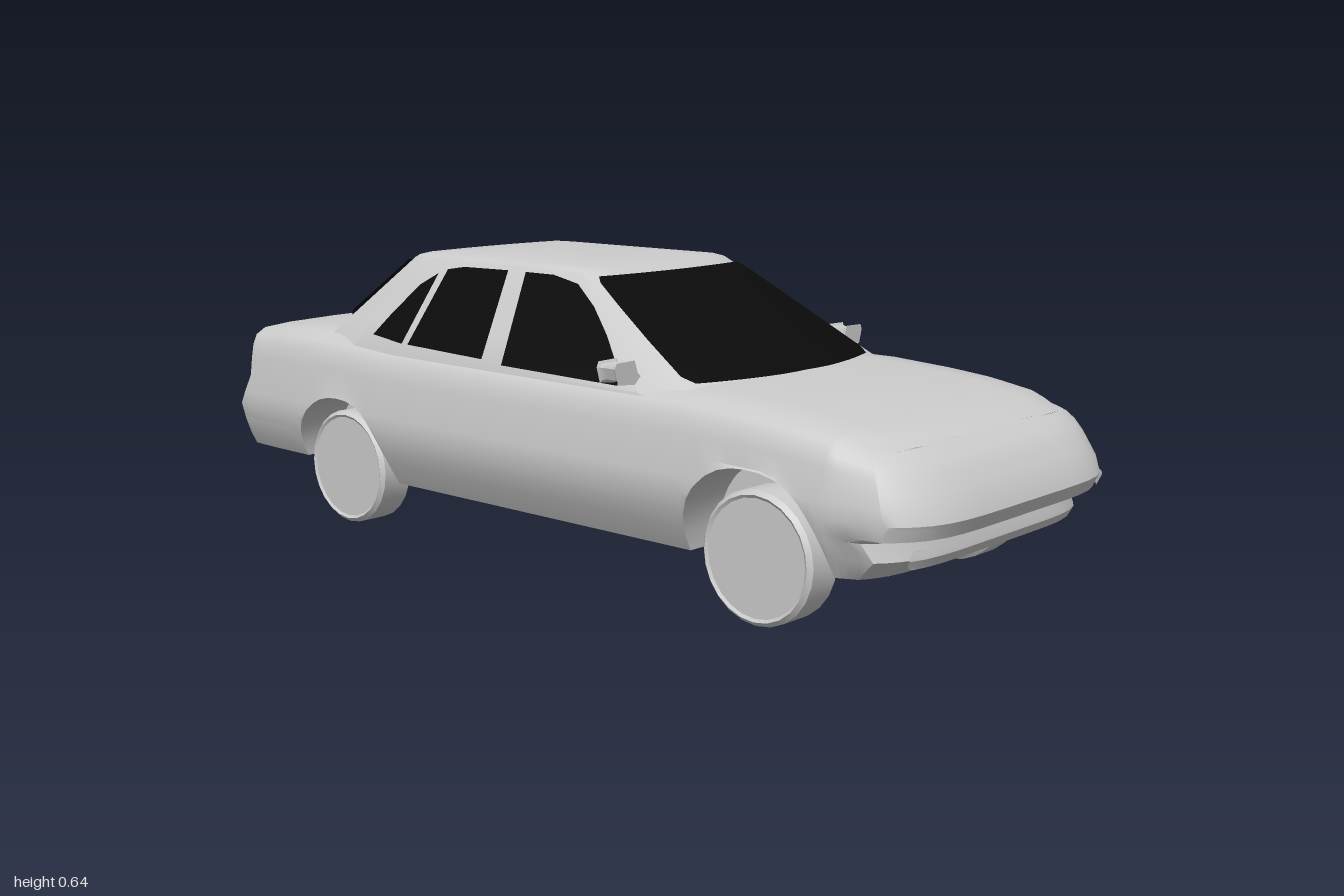
import * as THREE from 'three';
import { toCreasedNormals } from 'three/addons/utils/BufferGeometryUtils.js';

const paint = new THREE.MeshStandardMaterial({ color: 0xcccccc, side: THREE.DoubleSide });
const glass = new THREE.MeshStandardMaterial({ color: 0x0a0a0a, side: THREE.DoubleSide });
const lerp = THREE.MathUtils.lerp;

// Piecewise linear lookup in [[key, value], ...] with ascending keys
function look(table, k) {
  if (k <= table[0][0]) return table[0][1];
  for (let i = 1; i < table.length; i++) {
    const [a, va] = table[i - 1], [b, vb] = table[i];
    if (k <= b) return lerp(va, vb, (k - a) / (b - a));
  }
  return table[table.length - 1][1];
}

// Surface from rows of [x, y, z] points
function skin(rows) {
  const n = rows[0].length, index = [];
  for (let i = 0; i < rows.length - 1; i++) for (let j = 0; j < n - 1; j++) {
    const a = i * n + j, b = a + n;
    index.push(a, b, a + 1, b, b + 1, a + 1);
  }
  const g = new THREE.BufferGeometry();
  g.setAttribute('position', new THREE.Float32BufferAttribute(rows.flat(2), 3));
  g.setIndex(index);
  return toCreasedNormals(g, 0.55);
}

function add(parent, name, geometry, material = paint) {
  const m = new THREE.Mesh(geometry, material);
  m.name = name;
  parent.add(m);
  return m;
}

// Body rules: deck height, side width, nose and tail profiles
const deck = [[-1, 0.435], [-0.85, 0.446], [-0.71, 0.45], [-0.4, 0.435], [0.3, 0.43], [0.45, 0.43], [0.6, 0.42], [0.7, 0.41], [0.8, 0.393], [0.9, 0.382], [1, 0.365]];
const lower = [[0.11, 0.345], [0.165, 0.375], [0.2, 0.388], [0.24, 0.398], [0.27, 0.396]];
const upper = [[0, 0.396], [0.25, 0.39], [0.5, 0.384], [0.7, 0.376], [0.83, 0.362], [0.92, 0.335], [0.96, 0.26], [0.99, 0.13], [1, 0]];
const nose = [[0.12, 0.87], [0.135, 0.925], [0.165, 0.942], [0.2, 0.935], [0.21, 0.985], [0.24, 1], [0.27, 0.99], [0.33, 0.95], [0.365, 0.9]];
const tail = [[0.135, -0.975], [0.24, -1], [0.265, -0.992], [0.285, -0.965], [0.41, -0.957], [0.425, -0.948], [0.435, -0.925]];
const noseZ = (x, y) => look(nose, y) - 0.08 * Math.abs(x / 0.37) ** 6;
const tailZ = (x, y) => look(tail, y) + 0.04 * Math.abs(x / 0.39) ** 8;
const floorY = z => look([[-0.74, 0.135], [-0.6, 0.112], [0.6, 0.112], [0.8, 0.122]], z);
const arches = [{ z: 0.628, r: 0.172, top: 0.305 }, { z: -0.58, r: 0.16, top: 0.295 }];

function archY(z) {
  let y = floorY(z);
  for (const a of arches) {
    const d = Math.abs(z - a.z) / a.r;
    if (d < 1) y = lerp(y, a.top, Math.sqrt(1 - d ** 2.4));
  }
  return y;
}

// Half section, from floor centre past the wheel well to deck centre
function halfSection(s) {
  const H = look(deck, s), yb = floorY(s), ya = archY(s);
  const taper = s > 0.6 ? 1 - 0.07 * ((s - 0.6) / 0.4) ** 2 : s < -0.7 ? 1 - 0.02 * ((-s - 0.7) / 0.3) ** 2 : 1;
  const pts = [[0, yb], [0.27, yb], [0.27, ya]];
  for (const y0 of [yb, 0.165, 0.2, 0.21, 0.24, 0.27]) {
    const y = Math.max(y0, ya);
    pts.push([look(lower, y) * taper, y]);
  }
  for (const [f, x] of upper.slice(1)) pts.push([x * taper, Math.max(lerp(0.27, H, f), ya)]);
  return pts.map(([x, y]) => {
    let z = s;
    if (s > 0.8) z = lerp(0.8, noseZ(x, y), (s - 0.8) / 0.2);
    if (s < -0.8) z = lerp(-0.8, tailZ(x, y), (-s - 0.8) / 0.2);
    return [x, y, z];
  });
}
const flip = ([x, y, z]) => [-x, y, z];
const whole = half => [...half, ...half.slice(0, -1).reverse().map(flip)];

function endCap(s, endZ) {
  const rim = halfSection(s).slice(3), rows = [];
  for (let i = -10; i <= 10; i++) {
    const f = Math.sin(i / 10 * Math.PI / 2) * Math.sign(s);
    rows.push(rim.map(([x, y]) => [x * f, y, endZ(x * f, y)]));
  }
  return skin(rows);
}

// Cabin rules: t runs from the belt line (0) to the roof edge (1)
const beltY = 0.41, cabinH = 0.205;
const sideX = y => 0.36 - 0.61 * Math.max(0, y - beltY);
const screenZ = (x, y) => {
  const t = (y - beltY) / cabinH;
  return lerp(0.5, 0.1, t) - lerp(0.07, 0.015, t) * (x / lerp(0.32, 0.215, t)) ** 2;
};
const backZ = (x, y) => {
  const t = (y - beltY) / cabinH;
  return lerp(-0.755, -0.505, t) + lerp(0.06, 0.015, t) * (x / lerp(0.34, 0.225, t)) ** 2;
};

function cabinRing(y) {
  const t = (y - beltY) / cabinH, fr = [0, 0.25, 0.5, 0.75, 1], half = [];
  for (const f of fr) { const x = f * lerp(0.32, 0.215, t); half.push([x, y, screenZ(x, y)]); }
  for (const f of [0, 0.35, 0.7, 1]) half.push([sideX(y), y, lerp(lerp(0.33, 0.06, t), lerp(-0.56, -0.44, t), f)]);
  for (const f of [...fr].reverse()) { const x = f * lerp(0.34, 0.225, t); half.push([x, y, backZ(x, y)]); }
  return whole(half);
}

function cabin() {
  const levels = [0.385, 0.41, 0.48, 0.55, 0.615].map(cabinRing);
  const edge = levels[4];
  for (const [k, y] of [[0.97, 0.622], [0.9, 0.628], [0.6, 0.635], [0.3, 0.639], [0, 0.64]])
    levels.push(edge.map(([x, , z]) => [x * k, y, lerp(-0.2, z, k)]));
  return skin(edge.map((_, i) => levels.map(l => l[i])));
}

// Patch lying just off a surface; outline is [y, halfWidth] pairs
function patch(outline, surfaceZ, lift, x0 = 0) {
  const rows = [];
  for (let i = -8; i <= 8; i++)
    rows.push(outline.map(([y, w]) => {
      const x = x0 + w * i / 8 * Math.sign(lift);
      return [x, y, surfaceZ(x, y) + lift];
    }));
  return skin(rows);
}

// Side glass from an outline in (z, y)
function sideGlass(points) {
  const g = new THREE.ShapeGeometry(new THREE.Shape(points.map(p => new THREE.Vector2(...p))));
  const p = g.attributes.position;
  for (let i = 0; i < p.count; i++) {
    const z = p.getX(i), y = p.getY(i);
    p.setXYZ(i, sideX(y) + 0.004, y, z);
  }
  g.computeVertexNormals();
  return g;
}

export function createModel() {
  const car = new THREE.Group();
  car.name = 'car';

  // Lower body, with dense stations around the wheel arches
  const stations = [1, 0.95, 0.9, 0.85, 0.5, 0.3, 0.1, -0.1, -0.3, -0.78, -0.85, -0.9, -0.95, -1];
  for (const a of arches) for (let i = 0; i <= 16; i++) stations.push(a.z + a.r * Math.cos(i / 16 * Math.PI));
  stations.sort((a, b) => b - a);
  add(car, 'body', skin(stations.map(s => whole(halfSection(s)))));
  add(car, 'noseFace', endCap(1, noseZ));
  add(car, 'tailFace', endCap(-1, tailZ));

  // Cabin and its front and rear glass
  add(car, 'cabin', cabin());
  add(car, 'windshield', patch([[0.428, 0.285], [0.44, 0.298], [0.5, 0.278], [0.56, 0.255], [0.6, 0.238], [0.611, 0.225]], screenZ, 0.005), glass);
  add(car, 'rearWindow', patch([[0.455, 0.275], [0.49, 0.312], [0.55, 0.275], [0.61, 0.238]], backZ, -0.005), glass);

  // Front intake and rear plate
  const slot = [];
  for (let i = 0; i <= 8; i++) {
    const a = (i / 8 - 0.5) * Math.PI;
    slot.push([0.164 + 0.019 * Math.sin(a), 0.275 + 0.019 * Math.cos(a)]);
  }
  add(car, 'intake', patch(slot, noseZ, 0.004));
  add(car, 'plate', patch([[0.15, 0.08], [0.225, 0.085]], () => -0.996, -0.004));

  // Parts repeated on both sides
  const left = new THREE.Group();
  left.name = 'leftSide';
  add(left, 'frontSideWindow', sideGlass([[0.275, 0.417], [-0.065, 0.422], [-0.105, 0.608], [-0.02, 0.608], [0.06, 0.595], [0.13, 0.555], [0.195, 0.505], [0.255, 0.45]]), glass);
  add(left, 'rearSideWindow', sideGlass([[-0.13, 0.428], [-0.16, 0.608], [-0.3, 0.606], [-0.35, 0.598], [-0.378, 0.435]]), glass);
  add(left, 'quarterWindow', sideGlass([[-0.398, 0.435], [-0.375, 0.588], [-0.42, 0.56], [-0.475, 0.49], [-0.505, 0.446]]), glass);
  add(left, 'headlight', patch([[0.212, 0.03], [0.222, 0.036], [0.237, 0.036]], noseZ, 0.006, 0.332));

  // Door mirror
  const outline = [[0.325, 0.415], [0.348, 0.422], [0.4, 0.427], [0.409, 0.458], [0.404, 0.47], [0.352, 0.471], [0.343, 0.445], [0.325, 0.43]];
  const mirror = new THREE.ExtrudeGeometry(new THREE.Shape(outline.map(p => new THREE.Vector2(...p))),
    { depth: 0.025, bevelEnabled: true, bevelSize: -0.008, bevelThickness: 0.012, bevelOffset: 0, bevelSegments: 2 });
  add(left, 'mirror', mirror).position.z = 0.277;

  // Wheels
  const profile = [[0, -0.045], [0.118, -0.045], [0.131, -0.036], [0.131, 0.036], [0.122, 0.045], [0.116, 0.041], [0, 0.041]];
  const wheel = toCreasedNormals(new THREE.LatheGeometry(profile.map(p => new THREE.Vector2(...p)), 24), 0.5);
  wheel.rotateZ(-Math.PI / 2);
  for (const [name, z] of [['frontWheel', 0.637], ['rearWheel', -0.575]])
    add(left, name, wheel).position.set(0.33, 0.133, z);

  const right = left.clone();
  right.name = 'rightSide';
  right.scale.x = -1;
  car.add(left, right);
  return car;
}
